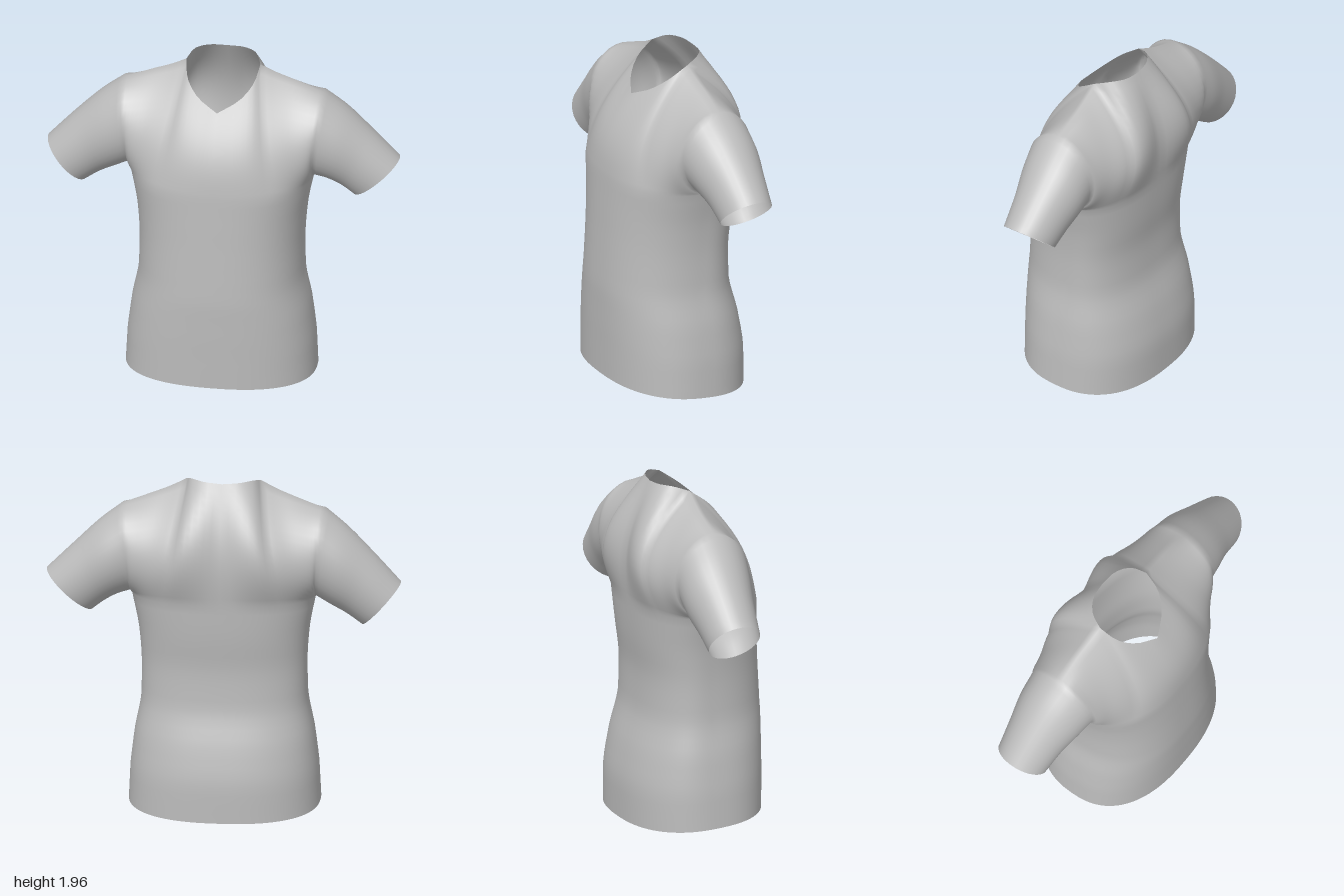
import * as THREE from 'three';
import { mergeVertices } from 'three/addons/utils/BufferGeometryUtils.js';

const lerp = THREE.MathUtils.lerp;
const curve = (...pts) => new THREE.CatmullRomCurve3(pts.map(p => new THREE.Vector3(...p)));

// Torso sections, evenly spaced from hem to underarm: half width, front z, back z
const sections = curve(
  [0.54, 0.395, -0.40], [0.53, 0.40, -0.40], [0.505, 0.405, -0.365], [0.468, 0.405, -0.31],
  [0.465, 0.395, -0.303], [0.48, 0.385, -0.325], [0.52, 0.375, -0.34]);
const UNDERARM = 1.27;
const ARM_Z = -0.055;
const ARM_DEPTH = 0.215;

// Upper edge of each panel: half neckline, then the shoulder seam
const NECK = 0.4;
const neckFront = curve([0, 1.73, 0.195], [0.12, 1.79, 0.13], [0.188, 1.86, 0.05], [0.21, 1.93, -0.05]);
const neckBack = curve([0, 1.95, -0.2], [0.1, 1.955, -0.185], [0.175, 1.955, -0.13], [0.21, 1.93, -0.05]);
const shoulder = curve([0.21, 1.93, -0.05], [0.3, 1.885, -0.055], [0.4, 1.845, -0.06], [0.5, 1.805, -0.058], [0.57, 1.775, ARM_Z]);

// Fullness of chest and back, from the centre (0) to the armhole (1)
const chestFullness = curve([0, 0.2, 0], [0.33, 0.36, 0], [0.67, 0.6, 0], [1, 1, 0]);
const backFullness = curve([0, 0.3, 0], [0.33, 0.74, 0], [0.67, 0.76, 0], [1, 1, 0]);

// Point on the torso below the arms; u runs from side to side, r from hem to underarm
function lowerPoint(u, r, front) {
  const s = sections.getPoint(r);
  const angle = Math.abs(u) * Math.PI / 2;
  const round = 2 / 2.4;
  const x = Math.sign(u) * s.x * Math.sin(angle) ** round;
  const zSide = ARM_Z * r;
  const z = lerp(zSide, front ? s.y : s.z, Math.max(0, Math.cos(angle)) ** round);
  return new THREE.Vector3(x, lerp(0.032 + 0.08 * z, UNDERARM, r), z);
}

// Point on the chest or upper back; v runs from underarm to neckline or shoulder
function upperPoint(u, v, front) {
  const a = Math.abs(u);
  const bottom = lowerPoint(u, 1, front);
  const top = a <= NECK
    ? (front ? neckFront : neckBack).getPoint(a / NECK)
    : shoulder.getPoint(Math.min(1, (a - NECK) / (1 - NECK)));
  const arc = (1 - Math.cos(Math.PI * v)) / 2;
  const f = lerp(v, arc, a ** 3);
  const full = (front ? chestFullness : backFullness).getPoint(a).y;
  const bulge = ARM_DEPTH * Math.sin(Math.PI * v) * full * (front ? 1 : -1);
  return new THREE.Vector3(
    lerp(bottom.x, Math.sign(u) * top.x, f),
    lerp(bottom.y, top.y, f),
    lerp(bottom.z, top.z, f) + bulge);
}

// Sleeve outlines along the top and under the arm, with a slightly different hang each side
const sleeves = {
  leftSleeve: {
    side: 1,
    top: curve([0.57, 1.775, 0], [0.70, 1.675, 0], [0.84, 1.54, 0], [1.0, 1.38, 0]),
    under: curve([0.52, UNDERARM, 0], [0.60, 1.245, 0], [0.67, 1.205, 0], [0.74, 1.15, 0]),
  },
  rightSleeve: {
    side: -1,
    top: curve([0.57, 1.775, 0], [0.70, 1.67, 0], [0.84, 1.53, 0], [1.0, 1.355, 0]),
    under: curve([0.52, UNDERARM, 0], [0.60, 1.225, 0], [0.69, 1.175, 0], [0.78, 1.11, 0]),
  },
};
// Depth of the sleeve: centre z and half depth
const sleeveDepth = curve([ARM_Z, ARM_DEPTH, 0], [-0.065, 0.2, 0], [-0.07, 0.172, 0], [-0.07, 0.15, 0]);

function sleevePoint({ side, top, under }, t, s) {
  const angle = t * Math.PI * 2;
  const p = under.getPoint(s).lerp(top.getPoint(s), (1 + Math.cos(angle)) / 2);
  const d = sleeveDepth.getPoint(s);
  return new THREE.Vector3(side * p.x, p.y, d.x + d.y * Math.sin(angle));
}

export function createModel() {
  const model = new THREE.Group();
  model.name = 'shirt';
  const fabric = new THREE.MeshStandardMaterial({ color: 0xbcbcbc, side: THREE.DoubleSide });
  fabric.name = 'grey fabric';

  const positions = [];
  const parts = [];

  // Fills a surface of nu by nv quads
  function grid(nu, nv, point, flip) {
    for (let i = 0; i < nu; i++) {
      for (let j = 0; j < nv; j++) {
        const a = point(i / nu, j / nv), b = point((i + 1) / nu, j / nv);
        const c = point((i + 1) / nu, (j + 1) / nv), d = point(i / nu, (j + 1) / nv);
        for (const p of flip ? [a, c, b, a, d, c] : [a, b, c, a, c, d]) positions.push(p.x, p.y, p.z);
      }
    }
  }
  function part(name, build) {
    const start = positions.length;
    build();
    parts.push({ name, start, end: positions.length });
  }

  // Front and back panels
  for (const front of [true, false]) {
    part(front ? 'frontPanel' : 'backPanel', () => {
      grid(40, 24, (i, j) => lowerPoint(Math.round(i * 40 - 20) / 20, j, front), !front);
      grid(40, 16, (i, j) => upperPoint(Math.round(i * 40 - 20) / 20, j, front), !front);
    });
  }
  // Sleeves, starting on the armhole edges of the panels
  for (const [name, sleeve] of Object.entries(sleeves)) {
    part(name, () => grid(32, 14, (t, s) => sleevePoint(sleeve, t, s), sleeve.side < 0));
  }

  // Weld everything so the shading runs smoothly over the seams, then split by part
  const raw = new THREE.BufferGeometry();
  raw.setAttribute('position', new THREE.Float32BufferAttribute(positions, 3));
  const welded = mergeVertices(raw, 1e-4);
  welded.computeVertexNormals();
  const whole = welded.toNonIndexed();
  for (const { name, start, end } of parts) {
    const geometry = new THREE.BufferGeometry();
    for (const key of ['position', 'normal']) {
      geometry.setAttribute(key, new THREE.BufferAttribute(whole.getAttribute(key).array.slice(start, end), 3));
    }
    const mesh = new THREE.Mesh(mergeVertices(geometry), fabric);
    mesh.name = name;
    model.add(mesh);
  }
  return model;
}
